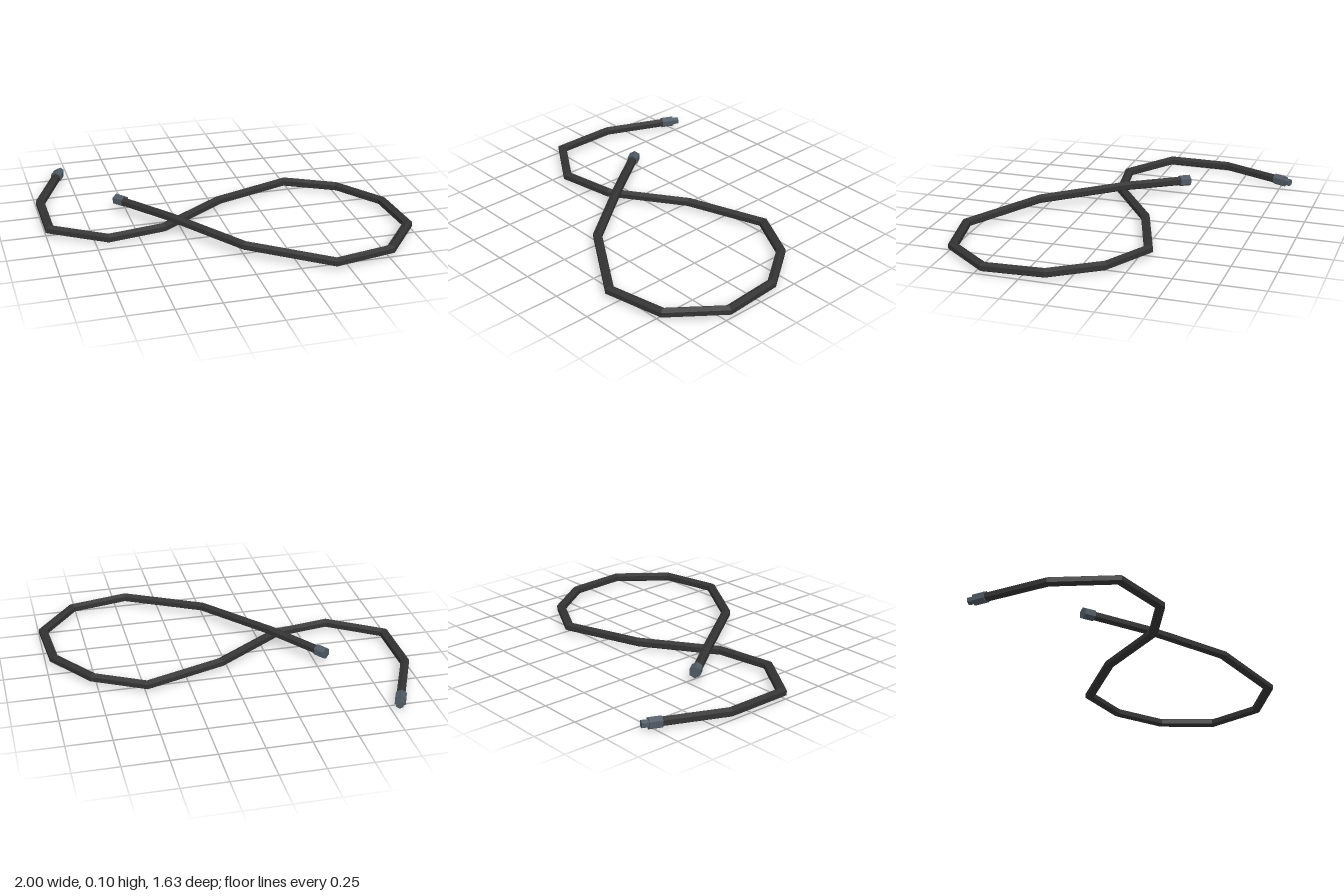
import * as THREE from 'three';

const SIDES = 6;

// Mitred hexagonal bar along a path, one ridge on top, closed at both ends
function sweep(path, radius) {
  const pts = path.map(p => new THREE.Vector3(...p));
  const last = pts.length - 1;
  const flatDir = (a, b) => new THREE.Vector3(b.x - a.x, 0, b.z - a.z).normalize();
  const rings = pts.map((p, i) => {
    const before = flatDir(pts[Math.max(i - 1, 0)], pts[Math.max(i, 1)]);
    const after = flatDir(pts[Math.min(i, last - 1)], pts[Math.min(i + 1, last)]);
    const dir = before.clone().add(after).normalize();
    const side = new THREE.Vector3(dir.z, 0, -dir.x).divideScalar(dir.dot(before));
    return Array.from({ length: SIDES }, (_, k) => {
      const a = Math.PI / 2 + (k / SIDES) * Math.PI * 2;
      return p.clone().addScaledVector(side, Math.cos(a) * radius)
        .add(new THREE.Vector3(0, Math.sin(a) * radius, 0));
    });
  });

  // Side faces and end caps, all wound outward
  const verts = [];
  const tri = (a, b, c) => verts.push(...a.toArray(), ...b.toArray(), ...c.toArray());
  for (let k = 0; k < SIDES; k++) {
    const n = (k + 1) % SIDES;
    for (let i = 0; i < last; i++) {
      const [a, b, c, d] = [rings[i][k], rings[i][n], rings[i + 1][n], rings[i + 1][k]];
      tri(a, b, c);
      tri(a, c, d);
    }
    tri(pts[0], rings[0][n], rings[0][k]);
    tri(pts[last], rings[last][k], rings[last][n]);
  }
  const geo = new THREE.BufferGeometry();
  geo.setAttribute('position', new THREE.Float32BufferAttribute(verts, 3));
  geo.computeVertexNormals();
  return geo;
}

export function createModel() {
  const rubber = new THREE.MeshStandardMaterial({ color: 0x333333 });
  rubber.name = 'black rubber';
  const metal = new THREE.MeshStandardMaterial({ color: 0x505a64 });
  metal.name = 'grey metal';

  const group = new THREE.Group();
  group.name = 'hose';
  const add = (name, path, radius, material) => {
    const mesh = new THREE.Mesh(sweep(path, radius), material);
    mesh.name = name;
    group.add(mesh);
  };

  // Looped hose, rising where it crosses over itself
  add('hoseTube', [
    [-0.82, 0.034, -0.735], [-0.977, 0.034, -0.372], [-0.977, 0.034, -0.007],
    [-0.68, 0.034, 0.188], [-0.357, 0.034, 0.134], [0.038, 0.034, -0.137],
    [0.487, 0.034, -0.292], [0.768, 0.034, -0.142], [0.953, 0.034, 0.122],
    [0.976, 0.034, 0.458], [0.768, 0.034, 0.724], [0.433, 0.036, 0.793],
    [0.003, 0.058, 0.518], [-0.31, 0.076, 0.099], [-0.528, 0.069, -0.2],
  ], 0.027, rubber);

  // Plug end: hex nut with a narrower tip
  add('plugNut', [[-0.833, 0.034, -0.71], [-0.804, 0.034, -0.775]], 0.034, metal);
  add('plugTip', [[-0.806, 0.034, -0.77], [-0.789, 0.034, -0.808]], 0.023, metal);

  // Socket end: single hex nut
  add('socketNut', [[-0.514, 0.071, -0.184], [-0.552, 0.069, -0.236]], 0.034, metal);

  return group;
}
